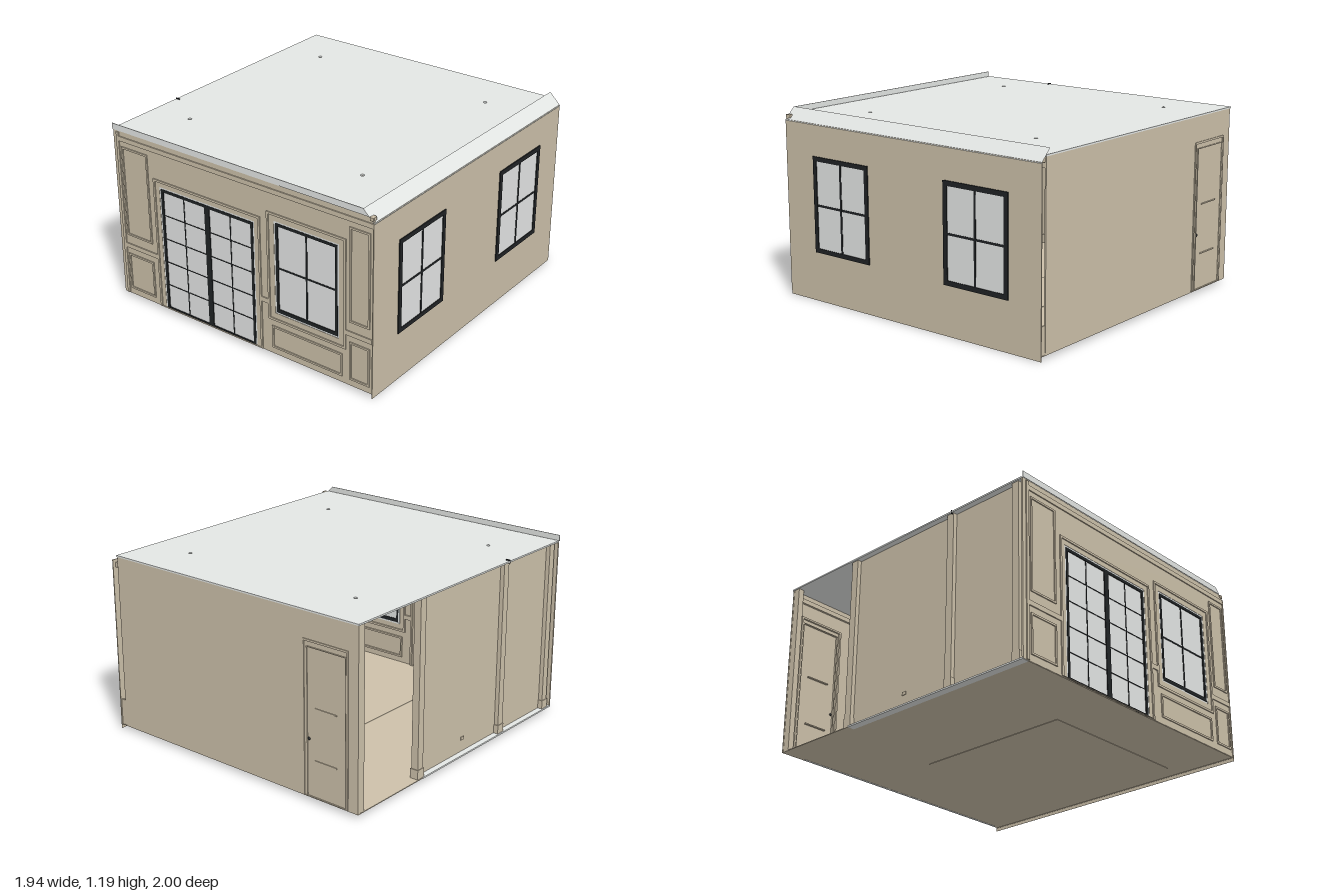
import * as THREE from 'three';

const mat = (name, color) => {
  const m = new THREE.MeshStandardMaterial({ color });
  m.name = name;
  return m;
};

export function createModel() {
  const tan = mat('tan plaster', 0xcdc1aa);
  const grey = mat('pale grey ceiling', 0xe5e8e6);
  const glass = mat('pale glass', 0xe5e7e6);
  const dark = mat('black frame', 0x202325);

  const room = new THREE.Group();
  room.name = 'room';

  const side = (name, angle) => {
    const g = new THREE.Group();
    g.name = name;
    g.rotation.y = angle;
    room.add(g);
    return g;
  };

  // box given by its limits on each axis
  const box = (parent, name, m, x0, x1, y0, y1, z0, z1) => {
    const mesh = new THREE.Mesh(new THREE.BoxGeometry(x1 - x0, y1 - y0, z1 - z0), m);
    mesh.position.set((x0 + x1) / 2, (y0 + y1) / 2, (z0 + z1) / 2);
    mesh.name = name;
    parent.add(mesh);
  };

  // four strips around a rectangle, w wide and b wide at the bottom
  const border = (parent, name, m, x0, x1, y0, y1, w, z0, z1, b = w) => {
    box(parent, name, m, x0, x0 + w, y0, y1, z0, z1);
    box(parent, name, m, x1 - w, x1, y0, y1, z0, z1);
    box(parent, name, m, x0 + w, x1 - w, y1 - w, y1, z0, z1);
    box(parent, name, m, x0 + w, x1 - w, y0, y0 + b, z0, z1);
  };

  const rect = (P, a, b, c, d) => {
    const p = new P();
    p.moveTo(a, c); p.lineTo(b, c); p.lineTo(b, d); p.lineTo(a, d); p.closePath();
    return p;
  };
  const extrude = (parent, name, m, shape, depth) => {
    const mesh = new THREE.Mesh(new THREE.ExtrudeGeometry(shape, { depth, bevelEnabled: false }), m);
    mesh.name = name;
    parent.add(mesh);
    return mesh;
  };

  // flat wall with rectangular openings [x0, x1, y0, y1]
  const wall = (parent, name, x0, x1, y0, y1, z0, z1, openings) => {
    const shape = rect(THREE.Shape, x0, x1, y0, y1);
    for (const o of openings) shape.holes.push(rect(THREE.Path, ...o));
    extrude(parent, name, tan, shape, z1 - z0).position.z = z0;
  };

  // glazed panel: pane, dark border, glazing bars
  const glazing = (parent, name, [x0, x1, y0, y1], w, base, z, xs, ys, bar) => {
    const g = new THREE.Group();
    g.name = name;
    parent.add(g);
    box(g, 'pane', glass, x0 + w / 2, x1 - w / 2, y0 + base / 2, y1 - w / 2, z - 0.003, z + 0.003);
    border(g, 'frame', dark, x0, x1, y0, y1, w, z - 0.008, z + 0.008, base);
    const b = bar / 2;
    for (const x of xs) box(g, 'verticalBar', dark, x - b, x + b, y0 + base, y1 - w, z - 0.006, z + 0.006);
    for (const y of ys) box(g, 'horizontalBar', dark, x0 + w, x1 - w, y - b, y + b, z - 0.005, z + 0.005);
  };

  // floor, rug and sills
  box(room, 'floor', tan, -0.97, 0.96, 0.025, 0.03, -0.994, 0.99);
  box(room, 'rug', tan, -0.23, 0.83, 0.022, 0.033, -0.46, 0.59);
  box(room, 'leftSill', grey, -0.973, -0.925, 0.024, 0.034, -0.39, 0.99);
  box(room, 'backSill', grey, -0.8, 0.92, 0.024, 0.027, -0.992, -0.975);

  // ceiling with recessed lights
  const panel = rect(THREE.Shape, -0.973, 0.924, -0.985, 0.999);
  for (const x of [-0.69, 0.61]) for (const z of [-0.68, 0.62]) {
    panel.holes.push(new THREE.Path().absarc(x, -z, 0.012, 0, Math.PI * 2));
    const lamp = new THREE.Mesh(new THREE.CylinderGeometry(0.014, 0.014, 0.006, 16), grey);
    lamp.position.set(x, 1.14, z);
    lamp.name = 'ceilingLight';
    room.add(lamp);
  }
  const ceiling = extrude(room, 'ceiling', grey, panel, 0.01);
  ceiling.rotation.x = -Math.PI / 2;
  ceiling.position.y = 1.146;

  // sloping sheet along the right, raised strip along the front
  const rise = 0.075;
  const slope = new THREE.Mesh(new THREE.PlaneGeometry(rise * Math.SQRT2, 1.998), grey);
  slope.geometry.rotateX(-Math.PI / 2);
  slope.rotation.z = -Math.PI / 4;
  slope.position.set(0.929, 1.1525, 0);
  slope.name = 'ceilingSlope';
  room.add(slope);
  const fascia = new THREE.Shape([
    [-0.973, 1.15], [0.929, 1.15], [0.89, 1.189], [-0.973, 1.189],
  ].map(([x, y]) => new THREE.Vector2(x, y)));
  extrude(room, 'frontFascia', grey, fascia, 0.004).position.z = 0.994;

  // front wall with double door and window
  const front = side('frontWall', 0);
  wall(front, 'frontPlaster', -0.971, 0.959, 0.027, 1.15, 0.982, 0.993,
    [[-0.615, 0.12, 0.029, 0.865], [0.265, 0.725, 0.31, 0.915]]);
  border(front, 'doorReveal', grey, -0.615, 0.12, 0.029, 0.865, 0.01, 0.976, 0.991, 0.001);
  border(front, 'windowReveal', grey, 0.265, 0.725, 0.31, 0.915, 0.01, 0.976, 0.991);
  const rows = [0.2, 0.36, 0.52, 0.68];
  glazing(front, 'leftDoor', [-0.605, -0.242, 0.028, 0.855], 0.019, 0.015, 0.985, [-0.425], rows, 0.006);
  glazing(front, 'rightDoor', [-0.242, 0.11, 0.028, 0.855], 0.019, 0.015, 0.985, [-0.065], rows, 0.006);
  glazing(front, 'frontWindow', [0.275, 0.715, 0.32, 0.905], 0.018, 0.024, 0.985, [0.495], [0.615], 0.011);

  // mouldings on both faces of the front wall
  const Z = [0.97, 1];
  border(front, 'doorCasing', tan, -0.66, 0.165, 0.03, 0.91, 0.014, ...Z, 0.003);
  border(front, 'windowCasing', tan, 0.215, 0.775, 0.26, 0.965, 0.014, ...Z);
  for (const [a, b] of [[-0.91, -0.7], [0.8, 0.94]]) {
    border(front, 'upperPanel', tan, a, b, 0.45, 1.05, 0.012, ...Z);
    border(front, 'lowerPanel', tan, a, b, 0.07, 0.32, 0.012, ...Z);
  }
  border(front, 'panelBelowWindow', tan, 0.24, 0.75, 0.07, 0.22, 0.012, ...Z);
  for (const [a, b] of [[-0.925, -0.66], [0.165, 0.215], [0.775, 0.955]])
    box(front, 'chairRail', tan, a, b, 0.36, 0.39, ...Z);
  box(front, 'crown', tan, -0.925, 0.955, 1.085, 1.115, ...Z);
  box(front, 'cornerPilaster', tan, -0.945, -0.925, 0.03, 1.14, ...Z);

  // right wall with two windows
  const right = side('rightWall', Math.PI / 2);
  wall(right, 'rightPlaster', -0.999, 0.999, 0.022, 1.12, 0.957, 0.963,
    [[-0.75, -0.31, 0.325, 0.91], [0.305, 0.76, 0.32, 0.915]]);
  box(right, 'wallFoot', tan, -0.999, 0.999, 0, 0.022, 0.96, 0.961);
  glazing(right, 'rightFrontWindow', [-0.76, -0.3, 0.315, 0.92], 0.028, 0.028, 0.962, [-0.53], [0.615], 0.014);
  glazing(right, 'rightBackWindow', [0.295, 0.77, 0.31, 0.925], 0.03, 0.03, 0.962, [0.53], [0.615], 0.014);
  box(right, 'crown', tan, -0.98, 0.98, 1.07, 1.1, 0.94, 0.957);
  box(right, 'baseboard', tan, -0.98, 0.98, 0.031, 0.09, 0.945, 0.957);
  box(right, 'crownEnd', tan, -0.999, -0.965, 1.13, 1.15, 0.935, 0.958);

  // back wall with panelled door, stopping short of the right wall
  const back = side('backWall', Math.PI);
  box(back, 'backPlaster', tan, -0.92, 0.97, 0.026, 1.155, 0.985, 0.995);
  box(back, 'cornerBase', tan, -0.957, -0.92, 0.026, 0.2, 0.982, 0.992);
  box(back, 'crown', tan, -0.92, 0.95, 1.08, 1.11, 0.97, 0.985);
  const D = [0.972, 1];
  border(back, 'doorCasing', tan, 0.57, 0.9, 0.03, 0.985, 0.012, ...D, 0.003);
  border(back, 'doorLeaf', tan, 0.6, 0.885, 0.035, 0.945, 0.005, ...D, 0.002);
  for (const y of [0.26, 0.58])
    box(back, 'doorPanelRail', tan, 0.66, 0.82, y, y + 0.007, ...D);
  const knob = new THREE.Mesh(new THREE.SphereGeometry(0.011, 12, 8), dark);
  knob.position.set(0.615, 0.39, 0.991);
  knob.name = 'doorKnob';
  back.add(knob);

  // left wall: open towards the back, with posts
  const left = side('leftWall', -Math.PI / 2);
  box(left, 'leftPlaster', tan, -0.4, 0.982, 0.03, 1.146, 0.92, 0.935);
  for (const z of [-0.41, 0.42, 0.93]) {
    box(left, 'post', tan, z - 0.025, z + 0.025, 0.03, 1.146, 0.915, 0.962);
    box(left, 'postBase', tan, z - 0.03, z + 0.03, 0.03, 0.09, 0.91, 0.966);
  }
  box(left, 'cornerPost', tan, -0.985, -0.94, 0.03, 1.146, 0.93, 0.968);
  box(left, 'postTip', dark, 0.433, 0.438, 1.14, 1.163, 0.945, 0.974);
  box(left, 'outlet', tan, 0.03, 0.06, 0.11, 0.13, 0.93, 0.94);

  return room;
}
